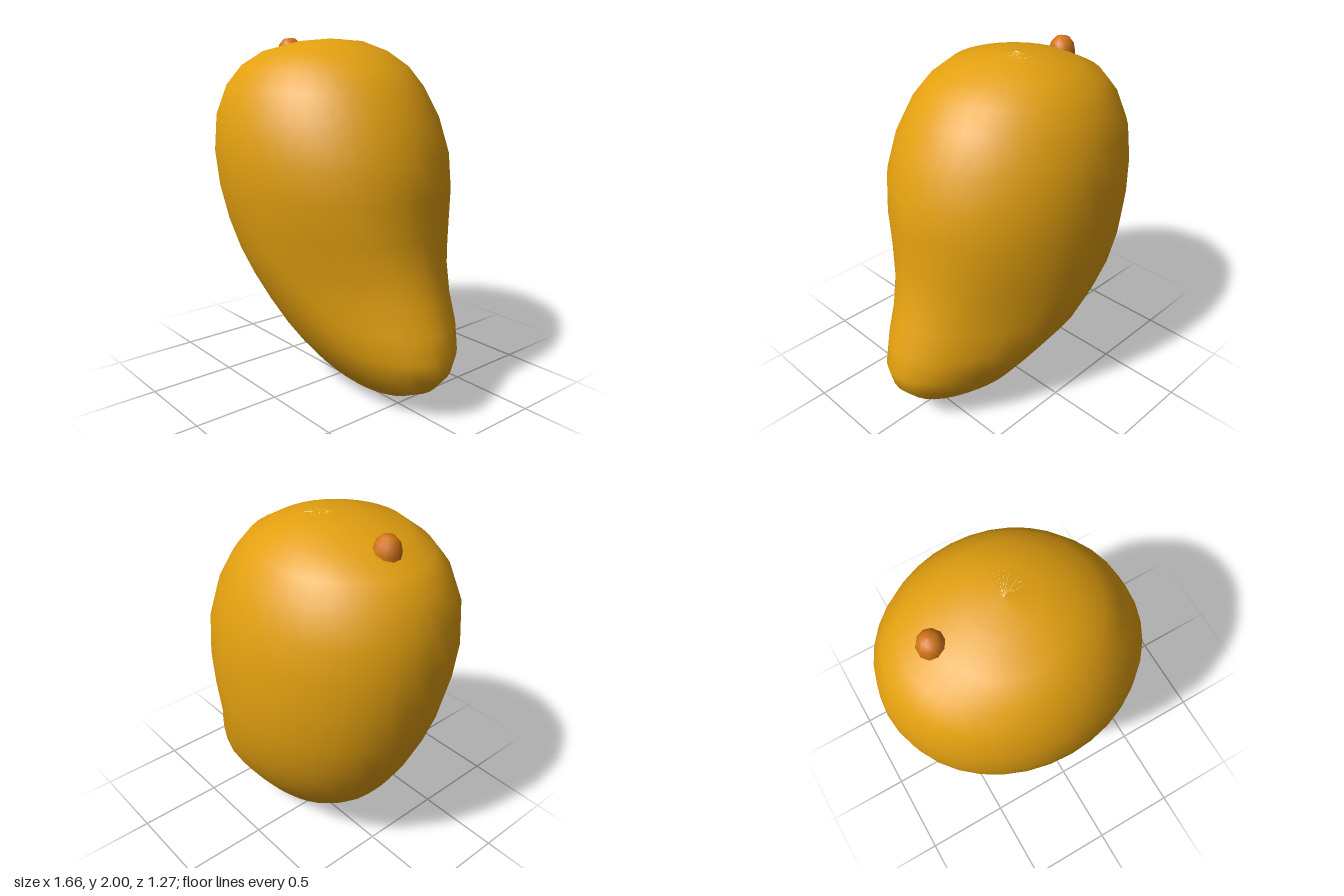
import * as THREE from 'three';
import { mergeVertices } from 'three/addons/utils/BufferGeometryUtils.js';

// Horizontal cross-sections, top to bottom: y, xMin, xMax, zMin, zMax
const SECTIONS = [
  [2.0, -0.12, -0.12, -0.03, -0.03],
  [1.985, -0.3, 0.07, -0.2, 0.16],
  [1.93, -0.49, 0.22, -0.34, 0.36],
  [1.85, -0.655, 0.36, -0.44, 0.46],
  [1.74, -0.75, 0.455, -0.52, 0.545],
  [1.58, -0.815, 0.55, -0.59, 0.61],
  [1.38, -0.835, 0.625, -0.625, 0.635],
  [1.18, -0.82, 0.645, -0.635, 0.62],
  [0.98, -0.785, 0.652, -0.625, 0.58],
  [0.8, -0.73, 0.68, -0.6, 0.53],
  [0.65, -0.665, 0.73, -0.56, 0.475],
  [0.5, -0.58, 0.79, -0.51, 0.41],
  [0.36, -0.475, 0.83, -0.425, 0.34],
  [0.25, -0.365, 0.805, -0.355, 0.27],
  [0.15, -0.24, 0.72, -0.285, 0.19],
  [0.08, -0.12, 0.585, -0.23, 0.12],
  [0.03, 0.04, 0.41, -0.155, 0.045],
  [0.0, 0.22, 0.22, -0.07, -0.07],
];

// Sphere grid whose rings are refitted to the cross-sections
function fruitGeometry() {
  const cols = 36, rows = SECTIONS.length - 1;
  const geo = new THREE.SphereGeometry(1, cols, rows);
  const pos = geo.attributes.position;
  for (let i = 0; i <= rows; i++) {
    const [y, x0, x1, z0, z1] = SECTIONS[i];
    // the beak side is pinched in the lower half
    const pinch = 0.14 * Math.exp(-(((y - 0.65) / 0.28) ** 2));
    for (let j = 0; j <= cols; j++) {
      const a = ((j % cols) / cols) * Math.PI * 2;
      const c = -Math.cos(a), s = Math.sin(a);
      const squeeze = 1 - pinch * THREE.MathUtils.smoothstep(c, 0.1, 0.8);
      const mid = THREE.MathUtils.lerp((z0 + z1) / 2, 0, 0.6 * Math.max(c, 0));
      pos.setXYZ(i * (cols + 1) + j,
        (x0 + x1) / 2 + c * (x1 - x0) / 2, y,
        mid + s * squeeze * (z1 - z0) / 2);
    }
  }
  // weld the seam so the shading stays smooth
  geo.deleteAttribute('uv');
  geo.deleteAttribute('normal');
  const welded = mergeVertices(geo, 1e-5);
  welded.computeVertexNormals();
  return welded;
}

export function createModel() {
  const group = new THREE.Group();
  group.name = 'mango';
  const skin = new THREE.MeshStandardMaterial({ color: 0xe3a010 });
  skin.name = 'golden skin';
  const wood = new THREE.MeshStandardMaterial({ color: 0xd27414 });
  wood.name = 'orange stem';

  const fruit = new THREE.Mesh(fruitGeometry(), skin);
  fruit.name = 'fruit';
  group.add(fruit);

  // Short rounded stem stub
  const profile = [[0.08, -0.1], [0.075, 0], [0.062, 0.045], [0.035, 0.075], [0, 0.08]]
    .map(([r, y]) => new THREE.Vector2(r, y));
  const stem = new THREE.Mesh(new THREE.LatheGeometry(profile, 10), wood);
  stem.name = 'stem';
  stem.position.set(-0.5, 1.92, -0.01);
  stem.rotation.z = 0.1;
  group.add(stem);
  return group;
}
